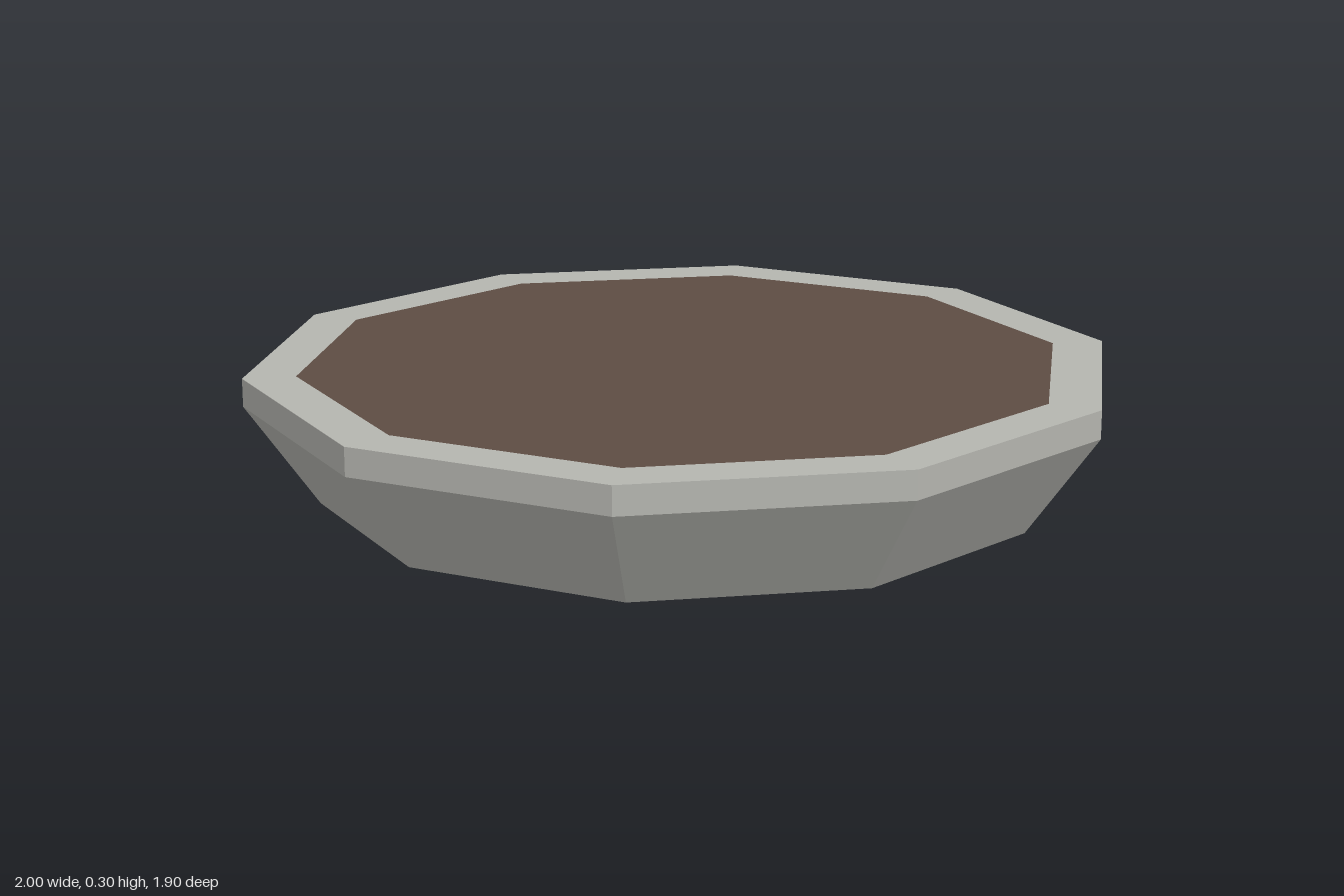
import * as THREE from 'three';

const SIDES = 10;

export function createModel() {
  const stone = new THREE.MeshStandardMaterial({ color: 0xb4b5af, flatShading: true });
  stone.name = 'pale stone';
  const soil = new THREE.MeshStandardMaterial({ color: 0x5d4c43, flatShading: true });
  soil.name = 'brown soil';

  const group = new THREE.Group();
  group.name = 'planterBed';

  const add = (name, geometry, material) => {
    const mesh = new THREE.Mesh(geometry, material);
    mesh.name = name;
    group.add(mesh);
    return mesh;
  };

  // Faceted ring turned from a [radius, height] profile, with a corner on +x
  const ring = (profile) => {
    const points = profile.map(([r, y]) => new THREE.Vector2(r, y));
    const geometry = new THREE.LatheGeometry(points, SIDES, Math.PI / 2).toNonIndexed();
    geometry.computeVertexNormals();
    return geometry;
  };

  // Flat ten-sided disc facing up (1) or down (-1)
  const disc = (radius, y, facing) =>
    new THREE.CircleGeometry(radius, SIDES).rotateX(-facing * Math.PI / 2).translate(0, y, 0);

  // Sloping bowl and its underside
  add('bowlWall', ring([[0.835, 0], [1, 0.235]]), stone);
  add('bowlBase', disc(0.835, 0, -1), stone);

  // Upright rim with a flat top
  add('rim', ring([[1, 0.235], [1, 0.3], [0.88, 0.3]]), stone);

  // Soil level with the rim
  add('soil', disc(0.88, 0.3, 1), soil);

  return group;
}
